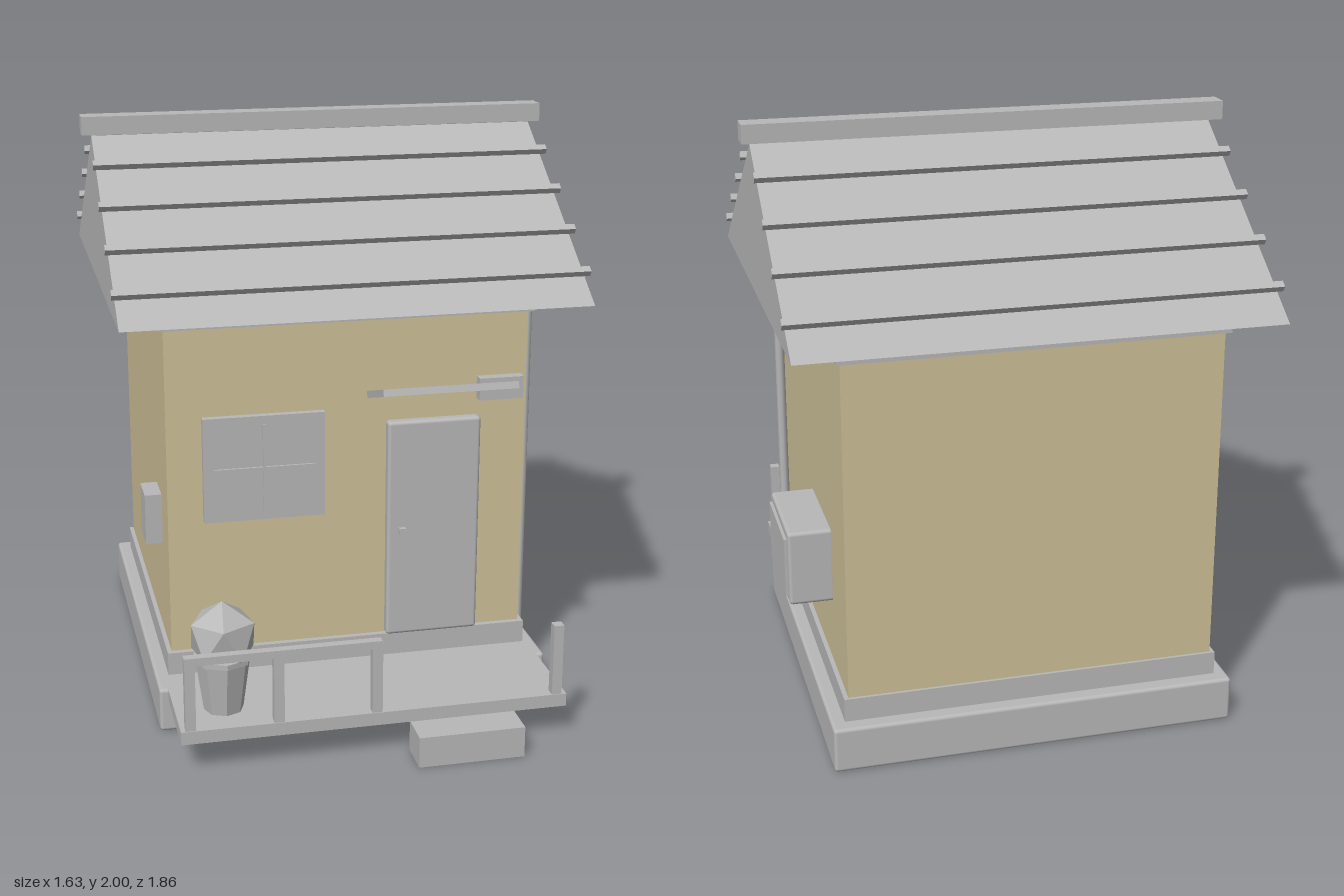
import * as THREE from 'three';
import { RoundedBoxGeometry } from 'three/addons/geometries/RoundedBoxGeometry.js';

const mat = (name, color) => {
  const m = new THREE.MeshStandardMaterial({ color, side: THREE.DoubleSide });
  m.name = name;
  return m;
};

export function createModel() {
  const grey = mat('grey', 0xb8b8b8);
  const tan = mat('tan plaster', 0xcec198);
  const model = new THREE.Group();
  model.name = 'cottage';

  const add = (name, geometry, material = grey) => {
    const mesh = new THREE.Mesh(geometry, material);
    mesh.name = name;
    model.add(mesh);
    return mesh;
  };
  // Boxes are given by their lower and upper limits on each axis; r rounds the edges.
  const box = (name, [x0, x1], [y0, y1], [z0, z1], material = grey, r = 0) => {
    const size = [x1 - x0, y1 - y0, z1 - z0];
    const g = r ? new RoundedBoxGeometry(...size, 2, r) : new THREE.BoxGeometry(...size);
    const mesh = add(name, g, material);
    mesh.position.set((x0 + x1) / 2, (y0 + y1) / 2, (z0 + z1) / 2);
    return mesh;
  };

  // Base, porch and step
  box('foundation', [-0.685, 0.68], [0, 0.155], [-0.86, 0.505], grey, 0.012);
  box('porchDeck', [-0.655, 0.65], [0.11, 0.155], [0.45, 0.818]);
  box('step', [0.11, 0.47], [0, 0.107], [0.805, 0.93]);

  // Walls with plinth and top band
  box('plinth', [-0.64, 0.635], [0.15, 0.235], [-0.81, 0.395]);
  box('walls', [-0.625, 0.62], [0.23, 1.4], [-0.8, 0.375], tan);
  box('topBand', [-0.64, 0.635], [1.378, 1.43], [-0.818, 0.4]);

  // Roof: two slopes and two gables, open below
  const ridgeZ = -0.18, eaveY = 1.43, ridgeY = 1.93, half = 0.75, rx = 0.785;
  const gable = (h, top, x) => {
    const s = new THREE.Shape([
      new THREE.Vector2(-h, eaveY), new THREE.Vector2(h, eaveY), new THREE.Vector2(0, top),
    ]);
    return new THREE.ShapeGeometry(s).rotateY(Math.sign(x) * Math.PI / 2).translate(x, 0, ridgeZ);
  };
  for (const side of [-1, 1]) {
    add('roofGable', gable(half, ridgeY, side * rx));
    add('atticWall', gable(0.58, 1.81, side * 0.62), tan);
  }
  const slopeLength = Math.hypot(half, ridgeY - eaveY);
  const pitch = Math.atan2(ridgeY - eaveY, half);
  for (const side of [-1, 1]) {
    const slope = add('roofSlope', new THREE.PlaneGeometry(2 * rx, slopeLength));
    if (side < 0) slope.geometry.rotateY(Math.PI);
    slope.position.set(0, (eaveY + ridgeY) / 2, ridgeZ + side * half / 2);
    slope.rotation.x = -side * (Math.PI / 2 - pitch);
    // Battens held just above the slope
    for (let i = 0; i < 4; i++) {
      const batten = add('roofBatten', new THREE.BoxGeometry(1.595, 0.022, 0.025));
      batten.position.set(0, 1.856 - i * 0.11, ridgeZ + side * (0.165 + i * 0.163));
      batten.rotation.x = side * pitch;
    }
  }
  box('ridgeCap', [-0.82, 0.815], [1.937, 2], [-0.22, -0.142]);

  // Door and knob
  box('door', [0.128, 0.455], [0.235, 1.018], [0.36, 0.408], grey, 0.012);
  box('doorKnob', [0.167, 0.19], [0.613, 0.636], [0.4, 0.425]);

  // Window with cross bars
  box('window', [-0.505, -0.09], [0.703, 1.07], [0.37, 0.4]);
  box('windowBar', [-0.303, -0.292], [0.735, 1.04], [0.395, 0.408]);
  box('windowBar', [-0.47, -0.125], [0.881, 0.892], [0.395, 0.408]);

  // Tilted awning and wall bracket
  const awning = add('awning', new THREE.BoxGeometry(0.46, 0.024, 0.235));
  awning.position.set(0.29, 1.15, 0.49);
  awning.rotation.x = -0.31;
  box('wallBracket', [0.445, 0.6], [1.077, 1.155], [0.37, 0.413]);

  // Downpipe
  const pipe = add('downpipe', new THREE.CylinderGeometry(0.017, 0.017, 1.21, 8));
  pipe.position.set(0.65, 0.772, 0.28);

  // Cooling unit on the left wall, meter box on the right wall
  box('coolingUnit', [0.61, 0.763], [0.462, 0.72], [-0.553, -0.19], grey, 0.012);
  box('coolingPanel', [0.75, 0.773], [0.49, 0.692], [-0.533, -0.212]);
  box('meterBox', [-0.683, -0.62], [0.57, 0.748], [0.08, 0.21]);

  // Porch railing
  box('topRail', [-0.64, 0.012], [0.384, 0.411], [0.786, 0.816]);
  for (const x of [-0.622, -0.331, -0.003, 0.617]) {
    box('railPost', [x - 0.017, x + 0.017], [0.15, 0.405], [0.781, 0.815]);
  }

  // Potted bush
  const flat = (g) => {
    const n = g.index ? g.toNonIndexed() : g;
    n.computeVertexNormals();
    return n;
  };
  const px = -0.492, pz = 0.67;
  add('pot', flat(new THREE.CylinderGeometry(0.092, 0.066, 0.185, 8))).position.set(px, 0.246, pz);
  add('potRim', flat(new THREE.CylinderGeometry(0.1, 0.1, 0.018, 8))).position.set(px, 0.343, pz);
  const bush = add('bush', flat(new THREE.IcosahedronGeometry(0.121, 0).rotateZ(0.5536)));
  bush.position.set(px, 0.415, pz);
  bush.rotation.y = 0.2;

  return model;
}
